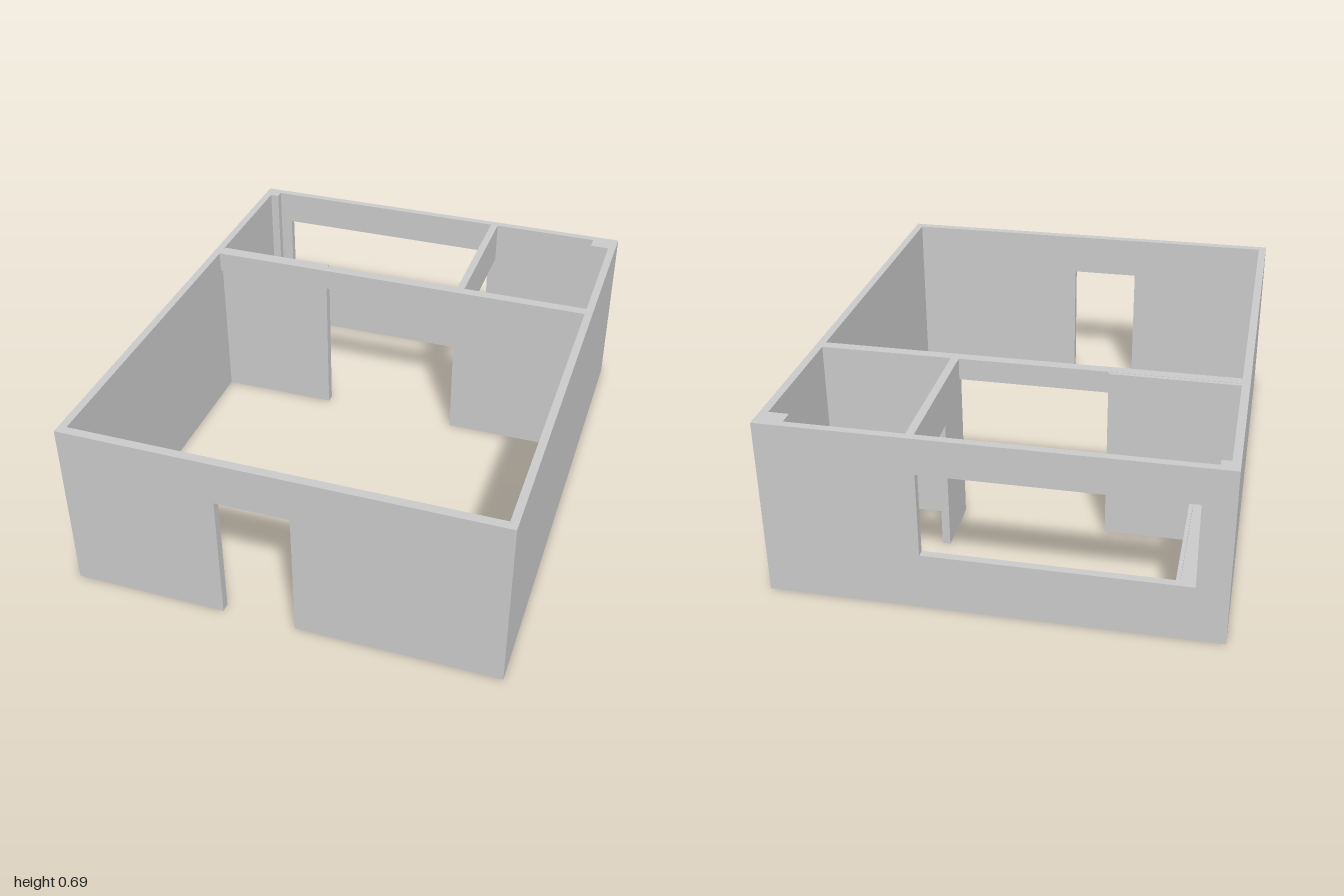
import * as THREE from 'three';

const material = new THREE.MeshStandardMaterial({ color: 0xcccccc, flatShading: true });
const W = 0.82, D = 1, H = 0.685, T = 0.03;

function add(group, name, geometry) {
  const mesh = new THREE.Mesh(geometry, material);
  mesh.name = name;
  group.add(mesh);
  return mesh;
}

// Box given by its extents
function block(group, name, [x0, x1], [y0, y1], [z0, z1]) {
  add(group, name, new THREE.BoxGeometry(x1 - x0, y1 - y0, z1 - z0))
    .position.set((x0 + x1) / 2, (y0 + y1) / 2, (z0 + z1) / 2);
}

function polygon(points, Type = THREE.Shape) {
  return new Type(points.map(([x, y]) => new THREE.Vector2(x, y)));
}

function wall(group, name, shape, thickness) {
  return add(group, name, new THREE.ExtrudeGeometry(shape, { depth: thickness, bevelEnabled: false }));
}

export function createModel() {
  const house = new THREE.Group();
  house.name = 'roomShell';

  // Front wall with a doorway open to the floor
  const front = polygon([[-W, 0], [-0.23, 0], [-0.23, 0.515], [0.05, 0.515],
    [0.05, 0], [W, 0], [W, H], [-W, H]]);
  wall(house, 'frontWall', front, 0.035).position.z = D - 0.035;

  // Back wall with a wide window
  const back = polygon([[-W, 0], [W, 0], [W, H], [-W, H]]);
  back.holes.push(polygon([[-0.705, 0.22], [-0.705, 0.547], [0.252, 0.547], [0.252, 0.22]], THREE.Path));
  wall(house, 'backWall', back, T).position.z = -D;

  // Side walls
  for (const side of [-1, 1]) {
    const xs = [side * W, side * (W - T)].sort((a, b) => a - b);
    block(house, side > 0 ? 'leftWall' : 'rightWall', xs, [0, H], [-D + T, D - 0.035]);
  }

  // Cross wall: two wall pieces joined by a beam over the wide opening
  block(house, 'crossWallRight', [-0.79, -0.31], [0, H - 0.001], [-0.402, -0.365]);
  block(house, 'crossWallLeft', [0.257, 0.79], [0, 0.6], [-0.387, -0.358]);
  block(house, 'crossBeam', [-0.79, 0.79], [0.6, H], [-0.387, -0.346]);

  // Partition between the back rooms, with a doorway beside the back wall
  const partition = polygon([[0.387, 0], [0.6, 0], [0.6, 0.515], [0.97, 0.515], [0.97, H], [0.387, H]]);
  const mesh = wall(house, 'partition', partition, T);
  mesh.rotation.y = Math.PI / 2;
  mesh.position.x = 0.256;

  // Corner columns
  block(house, 'leftCornerColumn', [0.715, 0.79], [0, H], [-0.97, -0.915]);
  block(house, 'rightCornerColumn', [-0.79, -0.755], [0, H], [-0.97, -0.938]);

  // Bench along the side wall, with a front lip
  block(house, 'bench', [-0.79, -0.65], [0.15, 0.21], [-0.97, -0.402]);
  block(house, 'benchLip', [-0.65, -0.635], [0.145, 0.218], [-0.97, -0.402]);

  return house;
}
